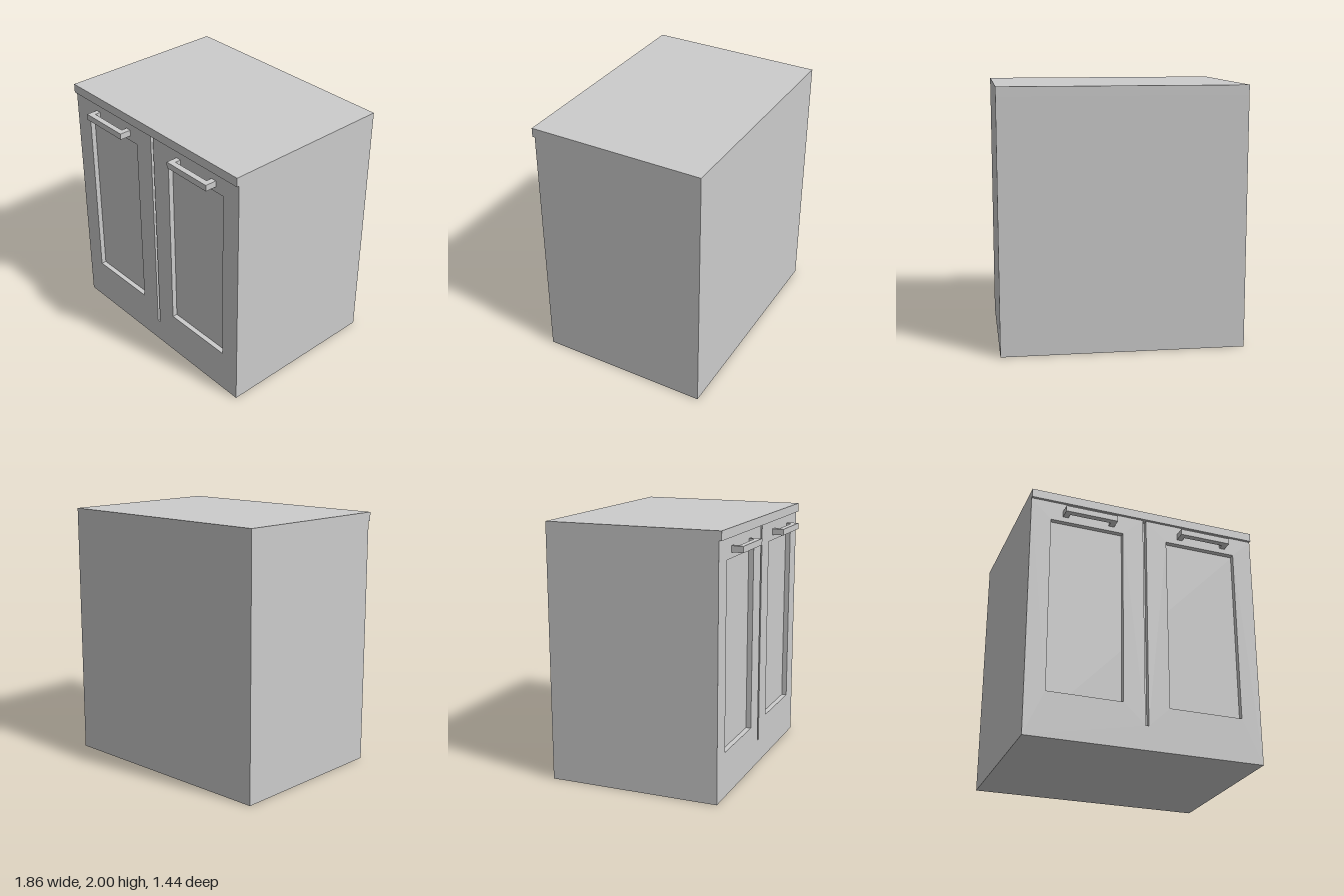
import * as THREE from 'three';

const material = new THREE.MeshStandardMaterial({ color: 0xcccccc, flatShading: true });

// Box given by its min and max corners
function box(name, [x0, y0, z0], [x1, y1, z1]) {
  const geometry = new THREE.BoxGeometry(x1 - x0, y1 - y0, z1 - z0);
  geometry.translate((x0 + x1) / 2, (y0 + y1) / 2, (z0 + z1) / 2);
  const mesh = new THREE.Mesh(geometry, material);
  mesh.name = name;
  return mesh;
}

function polygon(Type, points) {
  return new Type(points.map(([x, y]) => new THREE.Vector2(x, y)));
}

function extrude(name, shape, depth) {
  const geometry = new THREE.ExtrudeGeometry(shape, { depth, bevelEnabled: false });
  const mesh = new THREE.Mesh(geometry, material);
  mesh.name = name;
  return mesh;
}

export function createModel() {
  const group = new THREE.Group();
  group.name = 'cabinet';
  const w = 0.93, back = -0.72, front = 0.63, top = 1.93, recess = 0.04;

  // Carcass and overhanging worktop
  group.add(box('carcass', [-w, 0, back], [w, top, front - recess]));
  group.add(box('worktop', [-w, top, back], [w, 2, 0.65]));

  // Door front: a slot between the doors and a recessed panel in each
  const face = polygon(THREE.Shape, [
    [-w, 0], [w, 0], [w, top], [0.013, top], [0.013, 0.19], [-0.013, 0.19], [-0.013, top], [-w, top],
  ]);
  for (const [x0, x1] of [[-0.77, -0.183], [0.183, 0.77]]) {
    face.holes.push(polygon(THREE.Path, [[x0, 0.35], [x0, 1.773], [x1, 1.773], [x1, 0.35]]));
  }
  const doors = extrude('doorFront', face, recess);
  doors.position.z = front - recess;
  group.add(doors);

  // U-shaped bar handles, drawn in plan and extruded upward
  const handleShape = polygon(THREE.Shape, [
    [-0.209, 0], [-0.209, -0.09], [0.209, -0.09], [0.209, 0],
    [0.165, 0], [0.165, -0.045], [-0.165, -0.045], [-0.165, 0],
  ]);
  for (const [name, x] of [['rightHandle', -0.467], ['leftHandle', 0.487]]) {
    const handle = extrude(name, handleShape, 0.048);
    handle.rotation.x = -Math.PI / 2;
    handle.position.set(x, 1.815, front);
    group.add(handle);
  }
  return group;
}
